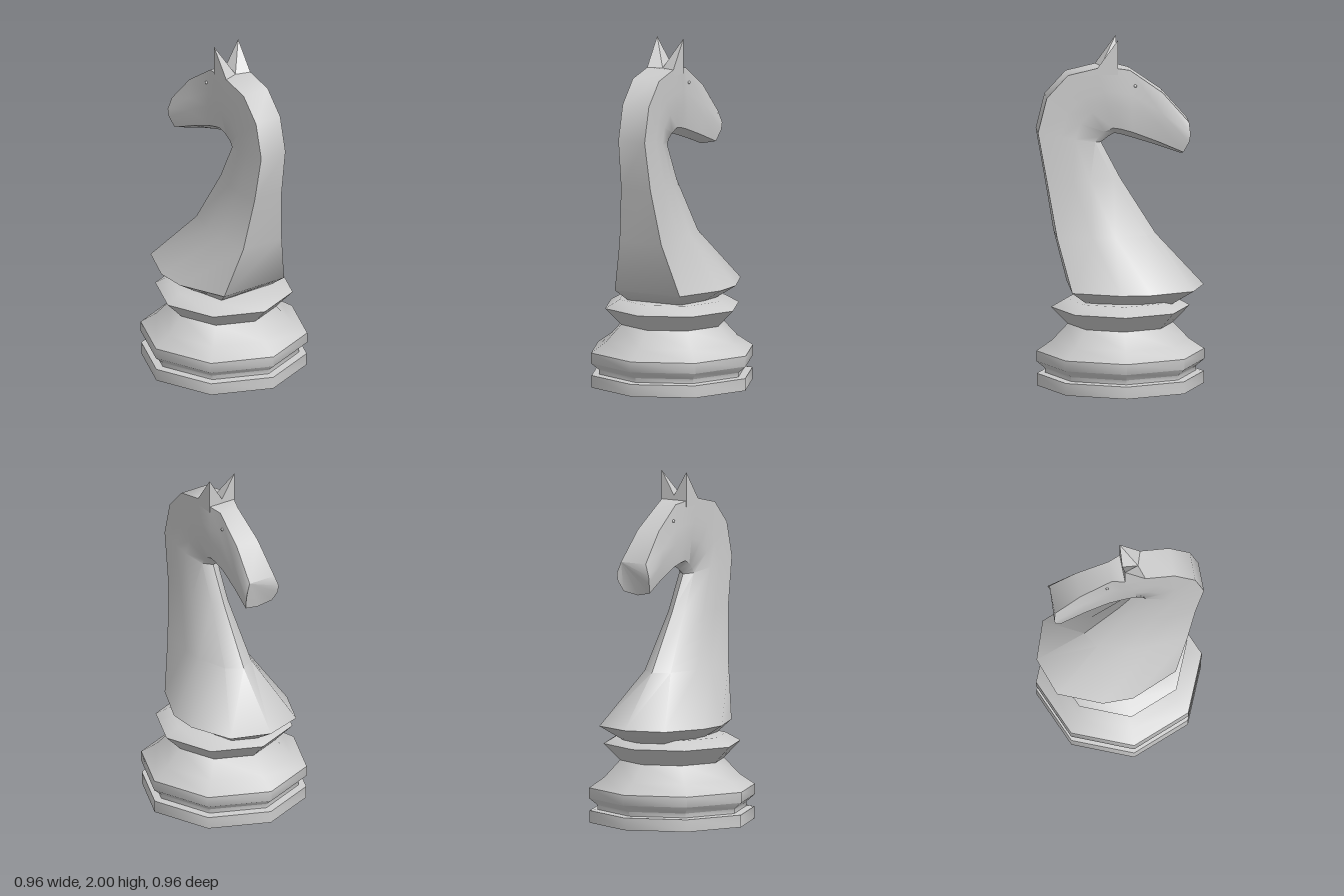
import * as THREE from 'three';
import { toCreasedNormals } from 'three/addons/utils/BufferGeometryUtils.js';
import { ConvexGeometry } from 'three/addons/geometries/ConvexGeometry.js';

const material = new THREE.MeshStandardMaterial({ color: 0xcccccc });

function addMesh(parent, name, geometry) {
  const mesh = new THREE.Mesh(geometry, material);
  mesh.name = name;
  parent.add(mesh);
  return mesh;
}

// Each section runs from a back/crown point to a throat/jaw point, both [z, y].
// w: half widths at fractions t along it; the ring closes on the throat point.
const T = [0, 0.35, 0.58, 0.9];
const SECTIONS = [
  { b: [0.21, 0.5], f: [-0.335, 0.48], w: [0.17, 0.21, 0.21, 0.14] },
  { b: [0.29, 0.565], f: [-0.475, 0.57], w: [0.21, 0.328, 0.328, 0.225] },
  { b: [0.37, 0.87], f: [-0.2, 0.87], w: [0.135, 0.148, 0.145, 0.09] },
  { b: [0.425, 1.19], f: [0, 1.19], w: [0.095, 0.107, 0.1, 0.055] },
  { b: [0.475, 1.47], f: [0.11, 1.4], w: [0.085, 0.088, 0.085, 0.05] },
  { b: [0.425, 1.67], f: [0.095, 1.41], w: [0.085, 0.085, 0.08, 0.05] },
  { b: [0.305, 1.8], f: [0.07, 1.43], w: [0.085, 0.085, 0.08, 0.055] },
  { b: [0.14, 1.838], f: [0.035, 1.45], w: [0.085, 0.085, 0.08, 0.06] },
  { b: [0.02, 1.835], f: [0, 1.443], w: [0.083, 0.083, 0.08, 0.06] },
  { b: [-0.05, 1.82], f: [-0.07, 1.422], w: [0.06, 0.065, 0.07, 0.058] },
  { b: [-0.235, 1.69], f: [-0.2, 1.38], w: [0.072, 0.085, 0.085, 0.07] },
  { b: [-0.385, 1.52], f: [-0.34, 1.33], w: [0.085, 0.11, 0.108, 0.09], bulge: 0.025 },
];

function loftBody() {
  const positions = [];
  const index = [];
  const n = 2 * T.length + 1;
  for (const { b, f, w, bulge = 0 } of SECTIONS) {
    const half = T.map((t, i) => [
      w[i],
      THREE.MathUtils.lerp(b[1], f[1], t),
      THREE.MathUtils.lerp(b[0], f[0], t) - bulge * Math.sin(Math.PI * t),
    ]);
    const mirrored = half.map(([x, y, z]) => [-x, y, z]).reverse();
    positions.push(...half.flat(), 0, f[1], f[0], ...mirrored.flat());
  }
  for (let s = 0; s < SECTIONS.length - 1; s++) {
    for (let i = 0; i < n; i++) {
      const a = s * n + i;
      const b = s * n + ((i + 1) % n);
      index.push(a, b, b + n, a, b + n, a + n);
    }
  }
  // Close the underside and the muzzle
  const last = (SECTIONS.length - 1) * n;
  for (let i = 1; i < n - 1; i++) {
    index.push(0, i + 1, i);
    index.push(last, last + i, last + i + 1);
  }
  const geometry = new THREE.BufferGeometry();
  geometry.setAttribute('position', new THREE.Float32BufferAttribute(positions, 3));
  geometry.setIndex(index);
  return toCreasedNormals(geometry, 0.75);
}

export function createModel() {
  const model = new THREE.Group();
  model.name = 'chessKnight';

  // Eight-sided turned base
  const profile = [
    [0, 0], [0.475, 0], [0.475, 0.07], [0.43, 0.075], [0.43, 0.1], [0.478, 0.14],
    [0.478, 0.2], [0.39, 0.26], [0.3, 0.355], [0.395, 0.452], [0.31, 0.5], [0, 0.5],
  ].map(([r, y]) => new THREE.Vector2(r, y));
  addMesh(model, 'base', toCreasedNormals(new THREE.LatheGeometry(profile, 8), 0.85));

  // Chest, neck and head in one loft
  addMesh(model, 'body', loftBody());

  // Ears and eyes on both sides
  for (const [side, label] of [[1, 'left'], [-1, 'right']]) {
    const ear = [
      [0.085, 2, 0.02], [0, 1.86, 0.02], [0, 1.8, 0.02], [0.085, 1.8, 0.02],
      [0.085, 1.835, 0.14], [0, 1.838, 0.11], [0.085, 1.8, 0.14],
    ].map(([x, y, z]) => new THREE.Vector3(side * x, y, z));
    addMesh(model, label + 'Ear', new ConvexGeometry(ear));

    const eye = addMesh(model, label + 'Eye', new THREE.SphereGeometry(0.009, 8, 6));
    eye.position.set(side * 0.066, 1.73, -0.08);
  }

  return model;
}
